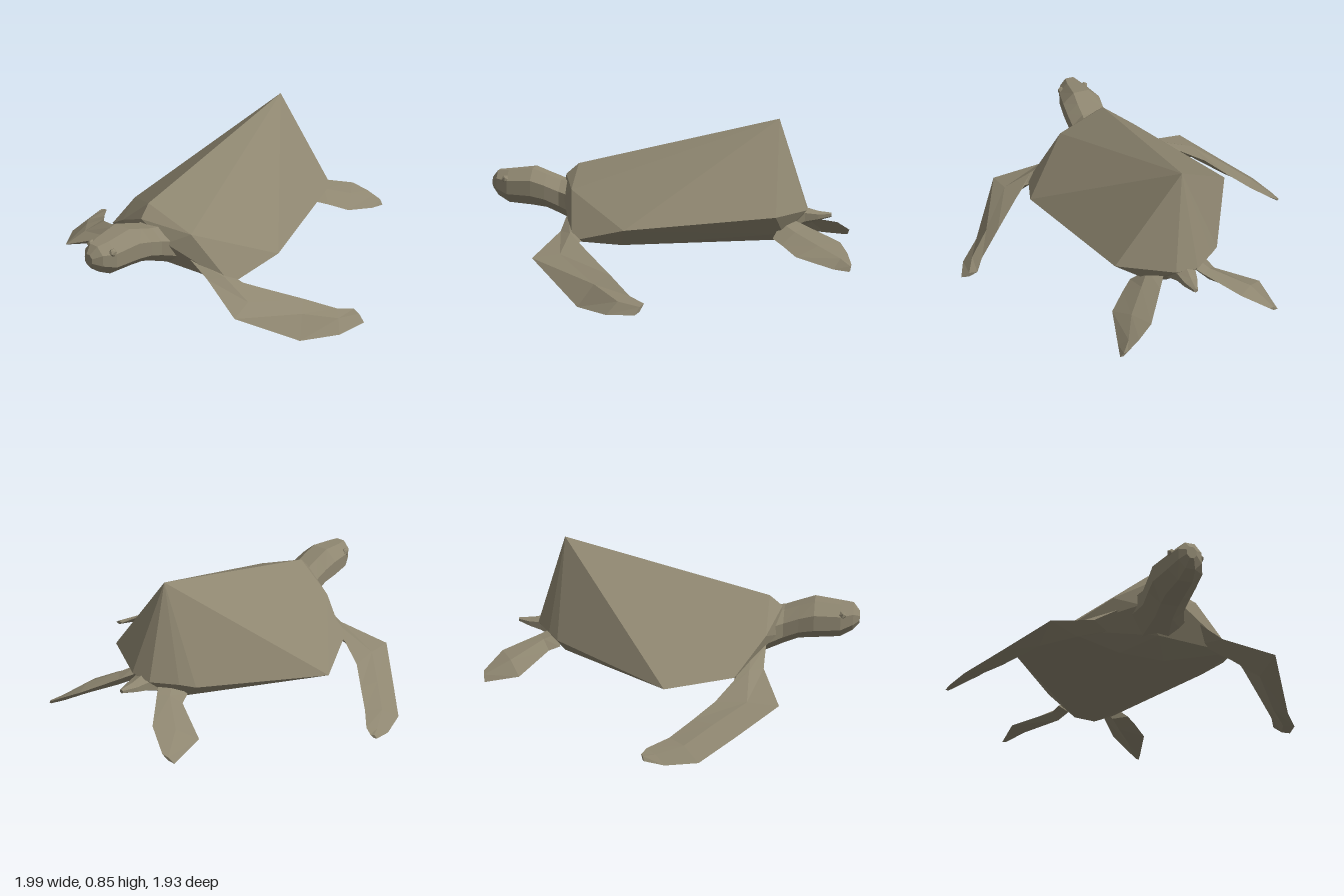
import * as THREE from 'three';
import { ConvexGeometry } from 'three/addons/geometries/ConvexGeometry.js';

const skin = new THREE.MeshStandardMaterial({ color: 0x8e8670, flatShading: true });
skin.name = 'olive grey';

// Closed skin over a row of rings with equal point counts, capped at both ends.
function loft(rings) {
  const n = rings[0].length, faces = [];
  for (let r = 0; r < rings.length - 1; r++) {
    for (let i = 0; i < n; i++) {
      const j = (i + 1) % n, a = rings[r], b = rings[r + 1];
      faces.push([a[i], b[i], b[j]], [a[i], b[j], a[j]]);
    }
  }
  const first = rings[0], last = rings[rings.length - 1];
  for (let i = 1; i < n - 1; i++) {
    faces.push([first[0], first[i], first[i + 1]], [last[0], last[i + 1], last[i]]);
  }
  // Turn every face outwards, judged by the enclosed volume
  const v = (p) => new THREE.Vector3(...p);
  const volume = faces.reduce((s, [a, b, c]) => s + v(a).sub(v(first[0])).dot(
    v(b).sub(v(first[0])).cross(v(c).sub(v(first[0])))), 0);
  if (volume < 0) faces.forEach((f) => f.reverse());
  const g = new THREE.BufferGeometry();
  g.setAttribute('position', new THREE.Float32BufferAttribute(faces.flat(2), 3));
  g.computeVertexNormals();
  return g;
}

// Flipper from sections of [leading point, trailing point, bulge above, bulge below].
function flipper(sections) {
  return loft(sections.map(([a, b, up, down]) => {
    const mid = a.map((c, i) => c * 0.5 + b[i] * 0.5);
    return [a, [mid[0], mid[1] + up, mid[2]], b, [mid[0], mid[1] - down, mid[2]]];
  }));
}

// Body of round sections [x, bottom, top, z centre, half width].
function tube(sections, sides) {
  return loft(sections.map(([x, y0, y1, z, w]) => Array.from({ length: sides }, (_, i) => {
    const a = ((i + 0.5) / sides) * Math.PI * 2, k = 1 / Math.cos(Math.PI / sides);
    return [x, (y0 + y1) / 2 + Math.sin(a) * k * (y1 - y0) / 2, z + Math.cos(a) * k * w];
  })));
}

export function createModel() {
  const turtle = new THREE.Group();
  turtle.name = 'seaTurtle';
  const add = (name, geometry) => {
    const mesh = new THREE.Mesh(geometry, skin);
    mesh.name = name;
    turtle.add(mesh);
    return mesh;
  };

  // Shell and belly as one faceted solid
  const shellPoints = [
    [0.59, 0.85, -0.05], [-0.52, 0.58, -0.06], [-0.59, 0.52, -0.05], // peak and ridge
    [-0.57, 0.42, 0.1], [-0.5, 0.48, 0.21], [-0.45, 0.25, 0.43], // front left rim
    [-0.16, 0.33, 0.51], [0.6, 0.38, 0.31], [0.63, 0.26, 0.14], // left rim
    [0.75, 0.37, 0.04], [0.75, 0.36, -0.08], [0.66, 0.35, -0.2], // back rim
    [0.6, 0.33, -0.26], [-0.04, 0.25, -0.62], [-0.38, 0.27, -0.47], // right rim
    [-0.52, 0.42, -0.25], [-0.57, 0.38, -0.12], // front right rim
    [-0.36, 0.19, 0.08], [-0.36, 0.2, -0.16], [-0.2, 0.22, 0.36], // belly
    [0.6, 0.2, 0.02], [0.6, 0.21, -0.1], [0.1, 0.215, -0.3], [-0.5, 0.26, 0],
  ].map((p) => new THREE.Vector3(...p));
  add('shell', new ConvexGeometry(shellPoints));

  // Head, running back into the neck
  add('head', tube([
    [-1.0, 0.44, 0.5, -0.02, 0.025],
    [-0.965, 0.4, 0.54, -0.015, 0.06],
    [-0.9, 0.365, 0.545, -0.015, 0.09],
    [-0.76, 0.355, 0.56, -0.015, 0.113],
    [-0.68, 0.345, 0.53, -0.01, 0.112],
    [-0.6, 0.31, 0.5, -0.01, 0.11],
    [-0.46, 0.25, 0.48, -0.01, 0.17],
  ], 8));

  // Eyes
  for (const s of [-1, 1]) {
    const eye = add(s > 0 ? 'leftEye' : 'rightEye', new THREE.IcosahedronGeometry(0.022, 0));
    eye.position.set(-0.91, 0.5, -0.015 + s * 0.074);
  }

  // Front flippers
  add('leftFrontFlipper', flipper([
    [[-0.52, 0.36, 0.2], [-0.4, 0.27, 0.28], 0.04, 0.05],
    [[-0.53, 0.28, 0.34], [-0.4, 0.25, 0.47], 0.02, 0.06],
    [[-0.62, 0.19, 0.59], [-0.34, 0.22, 0.54], 0.005, 0.08],
    [[-0.34, 0.002, 0.79], [-0.19, 0.145, 0.7], 0.035, 0.03],
    [[-0.17, 0.005, 0.915], [-0.07, 0.08, 0.83], 0.02, 0.02],
    [[-0.02, 0.025, 0.965], [0.01, 0.06, 0.88], 0.012, 0.012],
  ]));
  add('rightFrontFlipper', flipper([
    [[-0.52, 0.36, -0.22], [-0.38, 0.27, -0.3], 0.04, 0.05],
    [[-0.52, 0.28, -0.35], [-0.38, 0.26, -0.48], 0.02, 0.06],
    [[-0.62, 0.19, -0.6], [-0.3, 0.2, -0.62], 0.01, 0.07],
    [[-0.42, 0.09, -0.785], [-0.2, 0.14, -0.72], 0.025, 0.05],
    [[-0.26, 0.015, -0.93], [-0.1, 0.085, -0.82], 0.025, 0.02],
    [[-0.1, 0.01, -0.97], [0.0, 0.06, -0.9], 0.012, 0.012],
    [[0.0, 0.025, -0.97], [0.02, 0.045, -0.94], 0.01, 0.01],
  ]));

  // Hind flippers
  add('leftHindFlipper', flipper([
    [[0.58, 0.25, 0.22], [0.66, 0.33, 0.06], 0.03, 0.05],
    [[0.63, 0.23, 0.28], [0.76, 0.3, 0.13], 0.02, 0.055],
    [[0.71, 0.19, 0.37], [0.93, 0.25, 0.25], 0.02, 0.045],
    [[0.9, 0.145, 0.415], [0.97, 0.21, 0.33], 0.015, 0.02],
    [[0.98, 0.14, 0.435], [0.99, 0.17, 0.4], 0.01, 0.01],
  ]));
  add('rightHindFlipper', flipper([
    [[0.6, 0.27, -0.2], [0.66, 0.33, -0.06], 0.02, 0.05],
    [[0.66, 0.25, -0.22], [0.74, 0.3, -0.12], 0.02, 0.055],
    [[0.77, 0.18, -0.43], [0.91, 0.25, -0.25], 0.02, 0.045],
    [[0.96, 0.14, -0.44], [0.98, 0.18, -0.38], 0.01, 0.01],
  ]));

  // Tail
  add('tail', tube([
    [0.65, 0.25, 0.37, -0.02, 0.08],
    [0.74, 0.29, 0.37, -0.02, 0.05],
    [0.81, 0.31, 0.355, -0.015, 0.035],
    [0.88, 0.33, 0.35, -0.01, 0.01],
  ], 6));

  return turtle;
}
